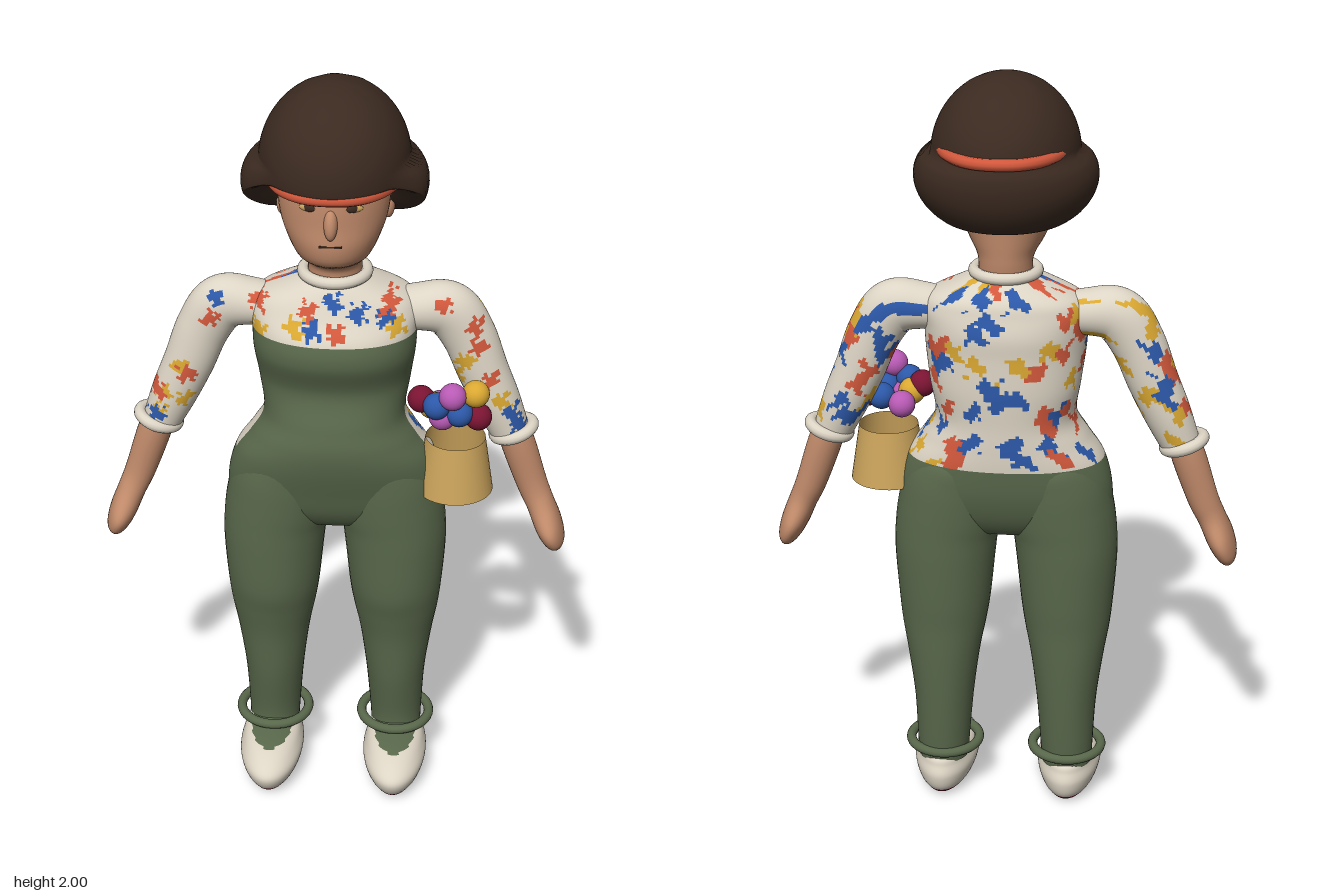
import * as THREE from 'three';

const mat = (name, color) => Object.assign(new THREE.MeshStandardMaterial({ color }), { name });
const M = {
  cream: mat('cream cloth', 0xdcd4c4), red: mat('coral red', 0xd2583c), blue: mat('blue', 0x2c58a8),
  yellow: mat('mustard yellow', 0xdaa832), green: mat('olive green', 0x59684b), skin: mat('skin', 0xc08a6a),
  hair: mat('dark brown', 0x3b2a20), maroon: mat('maroon', 0x7a1432), purple: mat('orchid', 0xb85ab4),
  straw: mat('straw', 0xcba45c),
};
M.straw.side = THREE.DoubleSide;

const smooth = (a, b, x) => THREE.MathUtils.smoothstep(x, a, b);

// Closed surface from rings: point(theta, t) gives a position, paint(theta, centre) gives a material
function surface(name, nu, nv, point, paint) {
  const pts = [], buckets = new Map();
  for (let j = 0; j <= nv; j++)
    for (let i = 0; i < nu; i++) pts.push(point((i / nu) * Math.PI * 2, j / nv));
  const mid = new THREE.Vector3();
  for (let j = 0; j < nv; j++)
    for (let i = 0; i < nu; i++) {
      const a = j * nu + i, b = j * nu + ((i + 1) % nu), c = b + nu, d = a + nu;
      mid.copy(pts[a]).add(pts[c]).multiplyScalar(0.5);
      const m = paint(((i + 0.5) / nu) * Math.PI * 2, mid);
      if (!buckets.has(m)) buckets.set(m, []);
      buckets.get(m).push(a, d, c, a, c, b);
    }
  const geo = new THREE.BufferGeometry().setFromPoints(pts);
  const index = [], mats = [...buckets.keys()];
  mats.forEach((m, k) => {
    geo.addGroup(index.length, buckets.get(m).length, k);
    for (const v of buckets.get(m)) index.push(v);
  });
  geo.setIndex(index);
  geo.computeVertexNormals();
  const mesh = new THREE.Mesh(geo, mats);
  mesh.name = name;
  return mesh;
}

// Loft through sections [x, y, z, half width, half depth]; power < 1 squares the section
function loft(name, keys, nu, nv, paint, power = 1) {
  const spline = (f) => new THREE.CatmullRomCurve3(keys.map(f), false, 'catmullrom', 0.5);
  const centre = spline((k) => new THREE.Vector3(k[0], k[1], k[2]));
  const radius = spline((k) => new THREE.Vector3(k[3], k[4], 0));
  const bend = (v) => Math.sign(v) * Math.abs(v) ** power;
  return surface(name, nu, nv, (th, t) => {
    const p = centre.getPoint(t), r = radius.getPoint(t), d = centre.getTangent(t);
    const len = Math.hypot(d.x, d.y) || 1;
    const a = Math.max(r.x, 0) * bend(Math.cos(th));
    return p.set(p.x + (d.y / len) * a, p.y - (d.x / len) * a, p.z + Math.max(r.y, 0) * bend(Math.sin(th)));
  }, paint);
}

// Patches on the front of the shirt: centres [x, y] for each colour
const frontPatches = {
  red: [[-0.06, 1.435], [0.01, 1.39], [0.14, 1.445], [-0.19, 1.435], [-0.31, 1.375], [-0.375, 1.21],
    [-0.455, 1.16], [0.275, 1.43], [0.355, 1.37], [0.365, 1.315], [0.395, 1.225]],
  blue: [[0, 1.455], [0.065, 1.43], [0.13, 1.42], [-0.05, 1.395], [-0.295, 1.43], [-0.46, 1.09], [0.45, 1.13], [0.47, 1.09]],
  yellow: [[-0.095, 1.395], [0.16, 1.395], [-0.185, 1.37], [-0.39, 1.235], [-0.44, 1.155], [-0.45, 1.1],
    [-0.385, 1.14], [0.33, 1.275], [0.31, 1.225], [0.425, 1.165]],
};

// Ragged patches on cream cloth: placed in front, scattered cells elsewhere (u runs around, v up)
function cloth(th, u, p) {
  const v = p.y;
  if (Math.sin(th) > 0) {
    const x = p.x + 0.007 * Math.sin(v * 190) + 0.005 * Math.sin(v * 420);
    const y = v + 0.007 * Math.sin(p.x * 210 + 1) + 0.005 * Math.sin(p.x * 390);
    for (const name in frontPatches)
      if (frontPatches[name].some(([a, b]) => Math.max(Math.abs(x - a), Math.abs(y - b)) < 0.019)) return M[name];
    return M.cream;
  }
  const cu = Math.floor((u + 0.012 * Math.sin(v * 75) + 0.005 * Math.sin(v * 190 + u * 60)) / 0.042);
  const cv = Math.floor((v + 0.012 * Math.sin(u * 80 + 2) + 0.005 * Math.sin(u * 200)) / 0.042);
  const n = Math.sin(cu * 127.1 + cv * 311.7 + 4.2) * 43758.5453;
  const h = n - Math.floor(n);
  return h < 0.11 ? M.red : h < 0.24 ? M.blue : h < 0.35 ? M.yellow : M.cream;
}

export function createModel() {
  const model = new THREE.Group();
  model.name = 'figure';
  const put = (name, geo, m, pos, scale = [1, 1, 1], rot = [0, 0, 0]) => {
    const mesh = new THREE.Mesh(geo, m);
    mesh.name = name;
    mesh.position.set(...pos);
    mesh.scale.set(...scale);
    mesh.rotation.set(...rot);
    model.add(mesh);
  };
  const ball = new THREE.SphereGeometry(1, 24, 16);
  const ring = (r, tube) => new THREE.TorusGeometry(r, tube, 12, 40).rotateX(Math.PI / 2);

  // Torso: bib in front, patterned shirt above it and behind
  model.add(loft('torso', [
    [0, 0.785, 0, 0.1, 0.04], [0, 0.8, 0, 0.2, 0.08], [0, 0.85, 0, 0.27, 0.115], [0, 0.92, 0, 0.277, 0.137],
    [0, 1.0, 0.006, 0.256, 0.152], [0, 1.06, 0.008, 0.215, 0.156], [0, 1.12, 0.002, 0.182, 0.15],
    [0, 1.21, -0.012, 0.193, 0.14], [0, 1.3, 0.004, 0.205, 0.155], [0, 1.36, 0, 0.208, 0.152],
    [0, 1.41, -0.01, 0.212, 0.13], [0, 1.445, -0.014, 0.19, 0.115], [0, 1.475, -0.01, 0.125, 0.094],
    [0, 1.498, -0.005, 0.07, 0.07],
  ], 140, 110, (th, p) =>
    p.y < 1.0 || (p.y < 1.36 && Math.sin(th) > 0.12) ? M.green : cloth(th, th * 0.18, p), 0.9));
  put('collar', ring(0.08, 0.015), M.cream, [0, 1.5, -0.006]);

  for (const s of [1, -1]) {
    const side = s > 0 ? 'left' : 'right';
    // Trouser leg with rolled hem
    model.add(loft(side + 'Leg', [
      [s * 0.169, 0.11, -0.022, 0.068, 0.074], [s * 0.168, 0.17, -0.025, 0.071, 0.078],
      [s * 0.166, 0.3, -0.018, 0.08, 0.094], [s * 0.166, 0.43, -0.014, 0.097, 0.104],
      [s * 0.165, 0.52, -0.006, 0.113, 0.114], [s * 0.163, 0.6, 0, 0.123, 0.126],
      [s * 0.161, 0.72, 0, 0.133, 0.131], [s * 0.156, 0.79, 0, 0.136, 0.132],
      [s * 0.146, 0.85, 0, 0.138, 0.134], [s * 0.135, 0.93, 0, 0.13, 0.134],
      [s * 0.12, 1.0, 0, 0.1, 0.125], [s * 0.11, 1.06, 0, 0.05, 0.07],
    ], 40, 52, () => M.green));
    put(side + 'Hem', ring(0.093, 0.013), M.green, [s * 0.167, 0.145, -0.008]);

    // Shoe with dark sole and trouser cloth filling its throat
    model.add(loft(side + 'Shoe', [
      [s * 0.17, 0.003, 0.06, 0, 0], [s * 0.17, 0.007, 0.06, 0.045, 0.125], [s * 0.17, 0.03, 0.06, 0.072, 0.163],
      [s * 0.17, 0.07, 0.062, 0.086, 0.178], [s * 0.17, 0.1, 0.052, 0.08, 0.16],
      [s * 0.17, 0.125, 0.028, 0.064, 0.122], [s * 0.17, 0.14, 0.01, 0.02, 0.04],
    ], 56, 48, (th, p) => {
      if (p.y < 0.027) return M.maroon;
      const throat = Math.hypot((p.x - s * 0.17) / 0.055, (p.z - 0.05) / 0.115) < 1;
      return throat ? M.green : M.cream;
    }));

    // Sleeve, plain on top of the shoulder, and cuff
    model.add(loft(side + 'Sleeve', [
      [s * 0.12, 1.385, -0.014, 0.05, 0.055], [s * 0.21, 1.4, -0.016, 0.06, 0.062],
      [s * 0.285, 1.393, -0.019, 0.072, 0.062], [s * 0.335, 1.325, -0.02, 0.069, 0.06],
      [s * 0.375, 1.225, -0.019, 0.065, 0.061], [s * 0.415, 1.135, -0.018, 0.06, 0.06],
      [s * 0.452, 1.05, -0.016, 0.05, 0.052],
    ], 48, 72, (th, p) =>
      Math.abs(p.x) < 0.37 && p.y > 1.445 ? M.cream : cloth(th, th * 0.066 + s * 2, p)));
    put(side + 'Cuff', ring(0.051, 0.016), M.cream, [s * 0.46, 1.055, -0.017], [1, 1, 1], [0, 0, s * 0.33]);

    // Forearm and mitten-like hand
    model.add(loft(side + 'Hand', [
      [s * 0.45, 1.08, -0.016, 0.04, 0.045], [s * 0.475, 1.01, -0.016, 0.044, 0.046],
      [s * 0.513, 0.9, -0.014, 0.04, 0.042], [s * 0.537, 0.845, -0.006, 0.037, 0.05],
      [s * 0.56, 0.79, 0.002, 0.036, 0.082], [s * 0.577, 0.75, 0.002, 0.03, 0.074],
      [s * 0.587, 0.725, -0.002, 0.018, 0.045], [s * 0.591, 0.718, -0.004, 0, 0.01],
    ], 32, 36, () => M.skin));

    // Ear, eye and brow
    put(side + 'Ear', ball, M.skin, [s * 0.13, 1.675, -0.02], [0.016, 0.034, 0.024]);
    put(side + 'Eye', ball, M.straw, [s * 0.056, 1.733, 0.141], [0.022, 0.009, 0.007], [0, s * 0.35, 0]);
    put(side + 'Pupil', ball, M.hair, [s * 0.052, 1.734, 0.145], [0.015, 0.01, 0.006], [0, s * 0.35, 0]);
    put(side + 'Brow', new THREE.BoxGeometry(0.046, 0.007, 0.008), M.hair,
      [s * 0.055, 1.747, 0.144], [1, 1, 1], [0, s * 0.35, s * 0.06]);
  }

  // Neck and head
  model.add(loft('head', [
    [0, 1.47, -0.005, 0.07, 0.072], [0, 1.525, -0.01, 0.068, 0.074], [0, 1.552, 0.006, 0.076, 0.092],
    [0, 1.58, 0.028, 0.094, 0.116], [0, 1.625, 0.034, 0.114, 0.125], [0, 1.68, 0.03, 0.132, 0.126],
    [0, 1.75, 0.02, 0.14, 0.134], [0, 1.83, 0.01, 0.135, 0.13], [0, 1.9, 0, 0.08, 0.08], [0, 1.92, 0, 0, 0],
  ], 40, 40, () => M.skin));
  put('nose', ball, M.skin, [0, 1.695, 0.153], [0.017, 0.04, 0.022], [-0.2, 0, 0]);
  put('mouth', new THREE.BoxGeometry(0.056, 0.004, 0.008), M.hair, [0, 1.638, 0.156]);

  // Bobbed hair: round crown, full lobes at the sides and back, rim raised over the face
  model.add(surface('hair', 80, 56, (th, t) => {
    const f = Math.sin(th), c = Math.cos(th);
    const rim = THREE.MathUtils.lerp(1.645, 1.785, smooth(-0.4, 0.72, f));
    const k = Math.max(0, (t - 0.12) / 0.88);
    const y = rim + (2 - rim) * Math.sin((k * Math.PI) / 2);
    const q = y > 1.8 ? (y - 1.8) / 0.2 : (1.8 - y) / 0.24;
    const base = 0.2 * Math.sqrt(Math.max(0, 1 - q * q));
    const lobe = Math.sqrt(Math.max(0, 1 - ((y - 1.725) / 0.088) ** 2)) * (1 - smooth(0.2, 0.7, f));
    const wave = 1 + 0.018 * Math.sin(th * 7 + 1) * smooth(1.97, 1.8, y) * (f < 0.5 ? 1 : 0.3);
    const turn = t < 0.12 ? t / 0.12 : 1;
    const tuck = 0.55 + 0.45 * Math.sin((turn * Math.PI) / 2);
    const lift = 0.02 * (1 - turn) - 0.008 * Math.sin(turn * Math.PI);
    const rx = (base * 0.93 + lobe * 0.05) * wave * tuck;
    const rz = (base * (f > 0 ? 1.05 : 1.12) + lobe * 0.018) * wave * tuck;
    return new THREE.Vector3(c * rx, y + lift, f * rz);
  }, () => M.hair));

  // Headband, low at the front, high behind, sunk into the hair at the sides
  const band = Array.from({ length: 32 }, (_, i) => {
    const a = (i / 32) * Math.PI * 2, f = Math.sin(a), c = Math.cos(a);
    return new THREE.Vector3(0.16 * Math.sign(c) * Math.abs(c) ** 0.85,
      1.832 - 0.055 * smooth(-0.4, 0.4, f), f * (f > 0 ? 0.197 : 0.226));
  });
  put('headband', new THREE.TubeGeometry(new THREE.CatmullRomCurve3(band, true), 96, 0.015, 10, true), M.red, [0, 0, 0]);

  // Open straw basket at the left hip
  put('basket', new THREE.CylinderGeometry(0.077, 0.1, 0.15, 40, 1, true), M.straw, [0.312, 0.98, 0.03]);

  // Cluster of beads above the basket
  [
    ['maroon', 0.222, 1.165, 0.04], ['blue', 0.262, 1.165, 0.075], ['purple', 0.302, 1.2, 0.088],
    ['yellow', 0.36, 1.2, 0.068], ['maroon', 0.368, 1.127, 0.055], ['purple', 0.277, 1.127, 0.06],
    ['blue', 0.32, 1.143, 0.07], ['blue', 0.325, 1.14, 0.005], ['purple', 0.27, 1.125, -0.01],
    ['yellow', 0.25, 1.145, 0.035],
  ].forEach(([m, x, y, z]) => put(m + 'Bead', ball, M[m], [x, y, z], [0.035, 0.035, 0.035]));

  return model;
}
